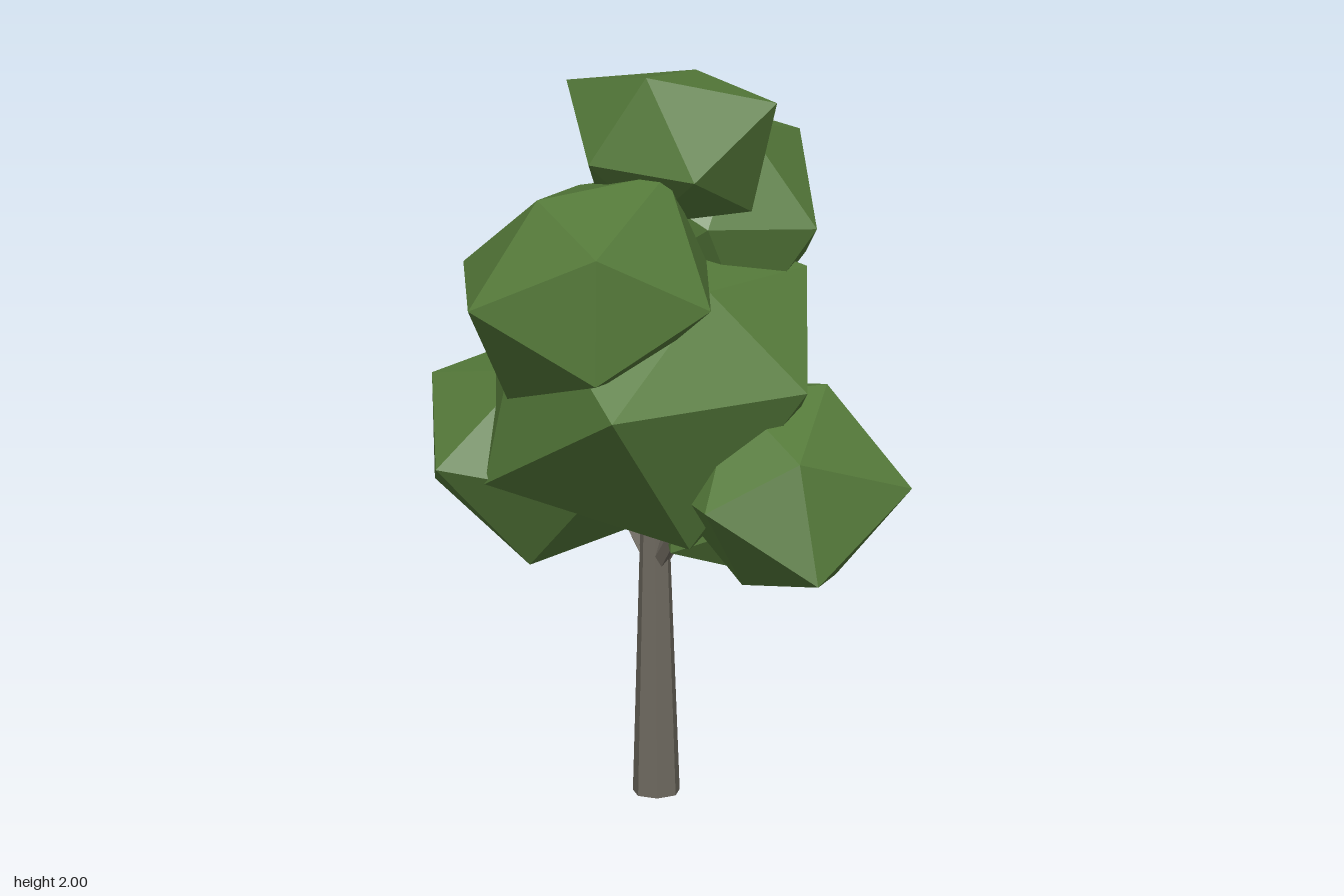
import * as THREE from 'three';
import { ConvexGeometry } from 'three/addons/geometries/ConvexGeometry.js';

const leafGreen = new THREE.MeshStandardMaterial({ color: 0x557a3a });
leafGreen.name = 'leaf green';
const barkGrey = new THREE.MeshStandardMaterial({ color: 0x6e695f, flatShading: true });
barkGrey.name = 'bark grey';

// Six corners plus the same six mirrored through the centre
const mirrored = (corners) => corners.concat(corners.map((p) => p.map((v) => -v)));

// Faceted twenty-sided leaf clump from twelve corners around a centre
function clump(name, center, corners) {
  const points = corners.map((p) => new THREE.Vector3(...p));
  const mesh = new THREE.Mesh(new ConvexGeometry(points), leafGreen);
  mesh.name = name;
  mesh.position.set(...center);
  return mesh;
}

// Tapered limb between two points
function limb(name, from, to, r0, r1, sides) {
  const a = new THREE.Vector3(...from);
  const b = new THREE.Vector3(...to);
  const dir = b.clone().sub(a);
  const mesh = new THREE.Mesh(new THREE.CylinderGeometry(r1, r0, dir.length(), sides), barkGrey);
  mesh.name = name;
  mesh.position.copy(a).add(b).multiplyScalar(0.5);
  mesh.quaternion.setFromUnitVectors(new THREE.Vector3(0, 1, 0), dir.normalize());
  return mesh;
}

export function createModel() {
  const tree = new THREE.Group();
  tree.name = 'tree';

  // Trunk and the forks that reach into the leaves
  tree.add(limb('trunk', [0, 0, -0.027], [0, 0.95, -0.02], 0.062, 0.031, 7));
  const forks = { rightFork: [-0.2, 0.9, 0.02], leftFork: [0.2, 0.88, 0.0], backFork: [0.03, 0.85, -0.22] };
  for (const [name, tip] of Object.entries(forks)) {
    tree.add(limb(name, [0, 0.61, -0.022], tip, 0.024, 0.015, 5));
  }

  // Leaf clumps, top to bottom
  tree.add(
    clump('crownTop', [0.02, 1.755, -0.05], [
      [0.10, 0.245, 0.16], [-0.23, 0.155, 0.15], [0.27, 0.155, -0.14],
      [0, 0.005, 0.27], [-0.28, -0.005, -0.15], [-0.02, 0.18, -0.11],
      [-0.08, -0.21, -0.16], [0.18, -0.16, -0.13], [-0.18, -0.15, 0.09],
      [0.02, -0.005, -0.29], [0.27, -0.005, 0.14], [0.04, -0.18, 0.10],
    ]),
    clump('upperFrontClump', [0.05, 1.445, 0.25], mirrored([
      [-0.04, 0, 0.37], [-0.365, 0, 0.11], [-0.07, 0.24, 0.11],
      [0.26, 0.175, 0.19], [0.27, -0.165, 0.20], [-0.13, -0.305, 0.16],
    ])),
    clump('upperBackClump', [-0.095, 1.51, -0.275], mirrored([
      [-0.215, -0.03, -0.175], [0.32, 0, -0.105], [0.05, 0.17, -0.275],
      [0.05, -0.17, -0.295], [-0.185, 0.275, -0.02], [0.15, 0.27, 0],
    ])),
    clump('middleClump', [0, 1.15, 0], [
      [0.35, 0.03, 0.42], [0.47, 0.025, -0.14], [-0.16, -0.26, 0.42],
      [0.27, -0.40, 0.09], [0.23, 0.27, -0.01], [-0.05, 0.31, 0.37],
      [-0.32, 0, -0.42], [-0.515, 0.02, 0.10], [0.15, 0.235, -0.41],
      [-0.29, 0.40, -0.10], [-0.26, -0.38, 0], [0, -0.35, -0.42],
    ]),
    clump('lowerRightClump', [-0.285, 0.9, 0.1], mirrored([
      [-0.365, 0.02, -0.16], [0.025, 0.02, 0.40], [-0.25, 0.17, 0.18],
      [-0.25, -0.12, 0.17], [0.13, -0.26, 0.17], [-0.13, -0.27, -0.17],
    ])),
    clump('lowerLeftClump', [0.32, 0.88, -0.19], mirrored([
      [0.335, -0.16, 0.17], [0.25, 0.15, 0.16], [0.285, 0.02, -0.19],
      [0.10, 0.02, 0.355], [0.04, 0.26, -0.11], [0.05, -0.26, -0.13],
    ])),
    clump('lowerBackClump', [0.05, 0.82, -0.3], [
      [-0.05, 0.13, -0.32], [-0.05, -0.17, -0.30], [-0.18, -0.265, 0.05],
      [0.21, -0.245, 0], [0.26, -0.02, -0.14], [-0.29, 0.02, -0.12],
      [0.05, -0.14, 0.31], [0.05, 0.17, 0.30], [0.16, 0.20, -0.08],
      [-0.20, 0.22, 0], [-0.26, 0.02, 0.14], [0.29, -0.02, 0.12],
    ]),
  );
  return tree;
}
